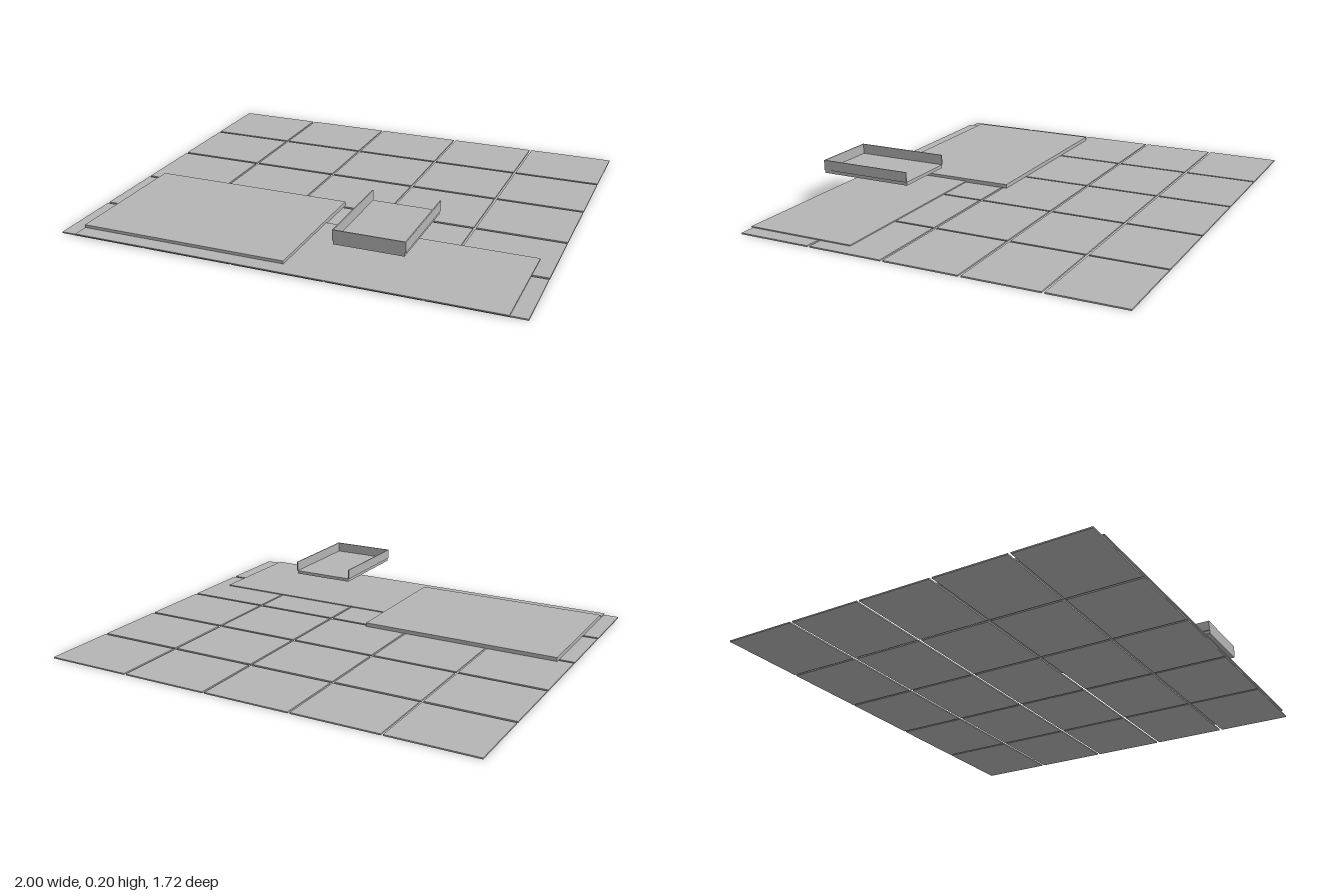
import * as THREE from 'three';

export function createModel() {
  const model = new THREE.Group();
  const grey = new THREE.MeshStandardMaterial({ color: 0xb4b4b4 });
  grey.name = 'plain grey';

  // Box given by its limits on each axis
  function slab(name, [x0, x1], [y0, y1], [z0, z1], parent = model) {
    const mesh = new THREE.Mesh(new THREE.BoxGeometry(x1 - x0, y1 - y0, z1 - z0), grey);
    mesh.position.set((x0 + x1) / 2, (y0 + y1) / 2, (z0 + z1) / 2);
    mesh.name = name;
    parent.add(mesh);
  }

  // Floor of five by five tiles with narrow gaps
  const floor = new THREE.Group();
  floor.name = 'tiledFloor';
  model.add(floor);
  const tileX = 0.392, tileZ = 0.332, pitchX = 0.402, pitchZ = 0.3445;
  for (let row = 0; row < 5; row++) {
    for (let col = 0; col < 5; col++) {
      const x = -1 + col * pitchX, z = -0.86 + row * pitchZ;
      slab('tile', [x, x + tileX], [0, 0.006], [z, z + tileZ], floor);
    }
  }

  // Thin mat along the front, with a raised board on its right half
  slab('frontMat', [-0.93, 0.93], [0.006, 0.011], [0.36, 0.857]);
  slab('raisedBoard', [-0.93, 0], [0.006, 0.024], [0.145, 0.787]);

  // Floating tray, open at the back
  const tray = new THREE.Group();
  tray.name = 'tray';
  model.add(tray);
  const wall = 0.005, z = [0.36, 0.787], y = [0.152, 0.195];
  slab('trayBase', [0.215, 0.505], [0.135, 0.15], z, tray);
  slab('trayRightWall', [0.21, 0.21 + wall], [0.15, y[1]], z, tray);
  slab('trayLeftWall', [0.51 - wall, 0.51], [0.15, y[1]], z, tray);
  slab('trayFrontWall', [0.21 + wall, 0.51 - wall], [0.15, y[1]], [z[1] - wall, z[1]], tray);

  return model;
}
